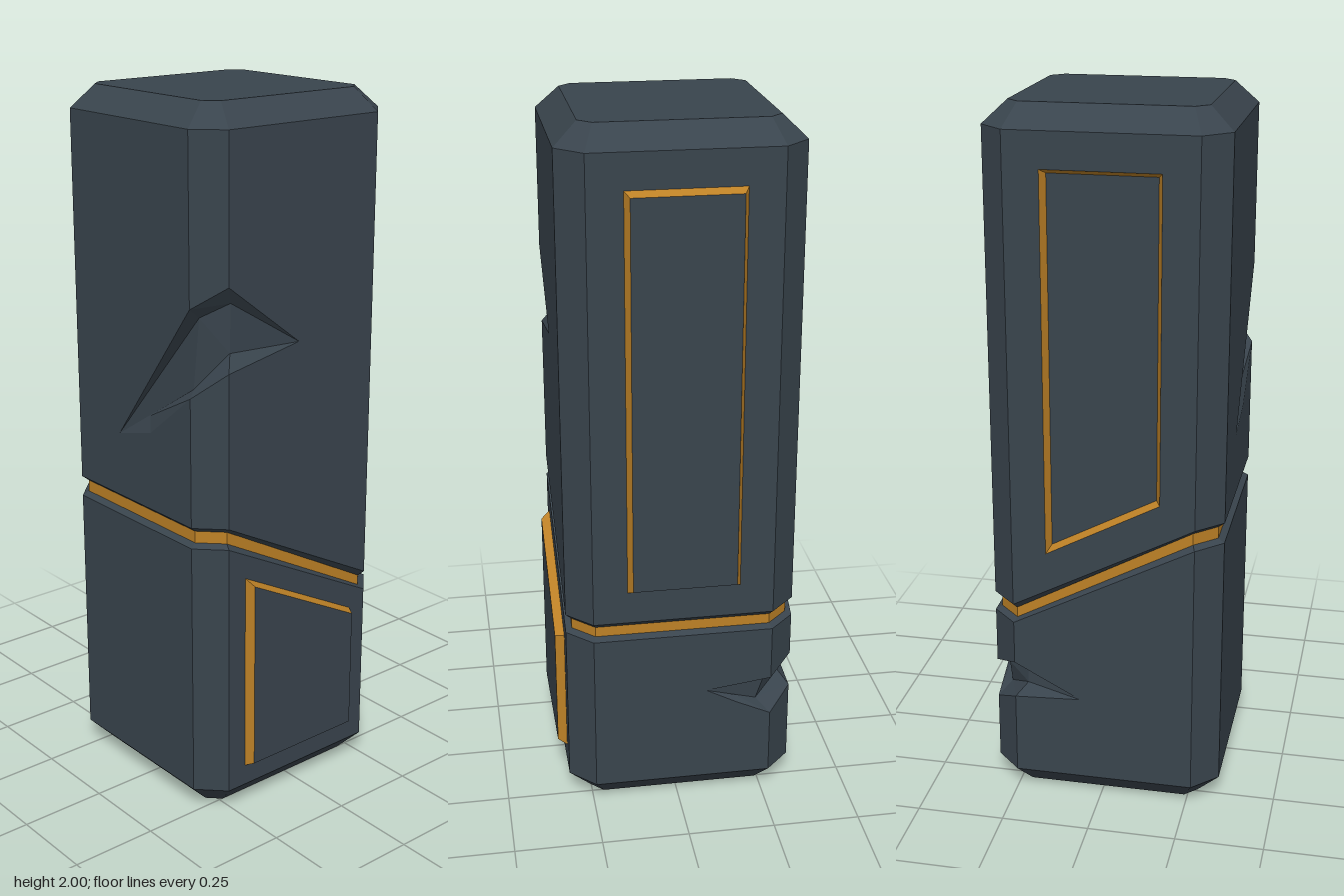
import * as THREE from 'three';

const H = 0.329, C = 0.257, S = H - C; // half width, half flat width, corner cut

// Octagon loop; y values differ for the front and back halves
function loop(h, c, yFront, yBack = yFront) {
  return [[-c, h], [c, h], [h, c], [h, -c], [c, -h], [-c, -h], [-h, -c], [-h, c]]
    .map(([x, z]) => new THREE.Vector3(x, z > 0 ? yFront : yBack, z));
}

// Outer octagon corners: faces 0 front, 2 at +x, 4 back, 6 at -x, odd ones are the cut corners
const V = loop(H, C, 0);

// Point on side face i: u along it, height y, distance out from it
function at(i, u, y, out = 0) {
  const a = V[i], dir = V[(i + 1) % 8].clone().sub(a).normalize();
  return new THREE.Vector3(a.x + dir.x * u - dir.z * out, y, a.z + dir.z * u + dir.x * out);
}

function meshFrom(name, polys, material) {
  const pts = [];
  for (const p of polys)
    for (let k = 1; k < p.length - 1; k++) pts.push(p[0], p[k], p[k + 1]);
  const g = new THREE.BufferGeometry().setFromPoints(pts);
  g.computeVertexNormals();
  const m = new THREE.Mesh(g, material);
  m.name = name;
  return m;
}

// Quads between a lower and an upper loop
const strip = (lo, hi) => lo.map((p, i) => {
  const j = (i + 1) % lo.length;
  return [p, lo[j], hi[j], hi[i]];
});

// Triangles of a flat outline on side face i, with an optional hole
function flat(i, outline, hole, out = 0) {
  const v2 = (l) => l.map(([u, y]) => new THREE.Vector2(u, y));
  const holes = hole ? [v2(hole).reverse()] : [];
  const all = [...v2(outline), ...holes.flat()];
  return THREE.ShapeUtils.triangulateShape(v2(outline), holes)
    .map((t) => t.map((k) => at(i, all[k].x, all[k].y, out)));
}

// Eight side faces between two loops, with a notch across faces k..k+2
function sides(lo, hi, n, recess) {
  const polys = [];
  for (let i = 0; i < 8; i++) {
    const j = (i + 1) % 8, L = V[i].distanceTo(V[j]);
    const bl = [0, lo[i].y], br = [L, lo[j].y], tr = [L, hi[j].y], tl = [0, hi[i].y];
    if (i === n.k) {
      const cut = [n.lower, n.tip].map(([d, y]) => [L - d, y]);
      polys.push(...flat(i, [bl, br, [L, n.yB], ...cut, [L, n.yA], tr, tl]));
    } else if (i === n.k + 1) {
      polys.push(...flat(i, [bl, br, [L, n.yD], [0, n.yB]]), ...flat(i, [[0, n.yA], [L, n.yC], tr, tl]));
    } else if (i === n.k + 2) {
      polys.push(...flat(i, [bl, br, tr, tl, [0, n.yC], n.end, [0, n.yD]]));
    } else {
      polys.push(...flat(i, [bl, br, tr, tl], recess && recess.i === i ? recess.outline : null));
    }
  }
  return polys;
}

// Chipped hollow behind the notch opening
function hollow(n) {
  const s = n.k === 0 ? 1 : -1;
  const [E1, E2, F1, F2, G] = n.inner.map(([x, y, z]) => new THREE.Vector3(x * s, y, z * s));
  const L = 2 * C, k = n.k;
  const T = at(k, L - n.tip[0], n.tip[1]), M = at(k, L - n.lower[0], n.lower[1]);
  const A = at(k, L, n.yA), B = at(k, L, n.yB);
  const Cc = at(k + 2, 0, n.yC), D = at(k + 2, 0, n.yD), U = at(k + 2, ...n.end);
  return [
    [T, E1, A], [A, E1, E2, Cc], [Cc, E2, U],
    [T, G, F1, E1], [E1, F1, F2, E2], [E2, F2, U],
    [T, M, G], [G, M, B, F1], [F1, B, D, F2], [F2, D, U],
  ];
}

// Four-cornered plate with tapered trim sides; a negative height sinks it
function plate(name, i, outline, height, body, trim) {
  const t = 0.013, [a, b, c, d] = outline;
  const slope = (c[1] - d[1]) / (c[0] - d[0]), bs = (b[1] - a[1]) / (b[0] - a[0]);
  const inner = [
    [a[0] + t, a[1] + t + bs * t], [b[0] - t, b[1] + t - bs * t],
    [c[0] - t, c[1] - t - slope * t], [d[0] + t, d[1] - t + slope * t],
  ];
  const g = new THREE.Group();
  g.name = name;
  g.add(
    meshFrom(name + 'Face', flat(i, inner, null, height), body),
    meshFrom(name + 'Trim', strip(outline.map((p) => at(i, ...p)), inner.map((p) => at(i, ...p, height))), trim),
  );
  return g;
}

export function createModel() {
  const body = new THREE.MeshStandardMaterial({ color: 0x39444d });
  body.name = 'dark slate';
  const trim = new THREE.MeshStandardMaterial({ color: 0xbd8126 });
  trim.name = 'amber';

  const group = new THREE.Group();
  group.name = 'pillar';

  // Loops from the ground up
  const foot = loop(0.264, 0.229, 0), lowBase = loop(H, C, 0.068);
  const lowTop = loop(H, C, 0.815, 0.548), coreLow = loop(0.311, 0.25, 0.826, 0.558);
  const coreHigh = loop(0.311, 0.25, 0.86, 0.588), upBase = loop(H, C, 0.875, 0.605);
  const upTop = loop(H, C, 1.938), crown = loop(0.264, 0.229, 2);

  // Chips on two opposite corners
  const upperChip = {
    k: 0, yA: 1.48, yB: 1.24, yC: 1.54, yD: 1.31,
    tip: [0.32, 1.06], lower: [0.175, 1.1], end: [0.243, 1.355],
    inner: [[0.248, 1.45, 0.29], [0.303, 1.49, 0.23], [0.223, 1.25, 0.29], [0.3, 1.355, 0.23], [0.06, 1.14, 0.313]],
  };
  const lowerChip = {
    k: 4, yA: 0.385, yB: 0.265, yC: 0.42, yD: 0.31,
    tip: [0.19, 0.36], lower: [0.1, 0.312], end: [0.19, 0.32],
    inner: [[0.245, 0.375, 0.295], [0.3, 0.405, 0.225], [0.22, 0.3, 0.295], [0.3, 0.345, 0.225], [0.15, 0.33, 0.315]],
  };

  // Sunken panel outline on the -x face
  const recess = { i: 6, outline: [[0.097, 0.77], [0.417, 0.94], [0.417, 1.84], [0.097, 1.84]] };

  group.add(
    meshFrom('lowerBlock', [
      [...foot].reverse(), ...strip(foot, lowBase), ...sides(lowBase, lowTop, lowerChip), ...strip(lowTop, coreLow),
    ], body),
    meshFrom('lowerChip', hollow(lowerChip), body),
    meshFrom('seam', strip(coreLow, coreHigh), trim),
    meshFrom('upperBlock', [
      ...strip(coreHigh, upBase), ...sides(upBase, upTop, upperChip, recess), ...strip(upTop, crown), crown,
    ], body),
    meshFrom('upperChip', hollow(upperChip), body),
    plate('sunkenPanel', 6, recess.outline, -0.025, body, trim),
    plate('backPanel', 4, [[0.097, 0.7], [0.417, 0.7], [0.417, 1.84], [0.097, 1.84]], 0.024, body, trim),
    plate('sidePanel', 2, [[0.058, 0.13], [0.457, 0.13], [0.457, 0.505], [0.058, 0.715]], 0.026, body, trim),
  );

  // The raised panels shift the body off centre
  group.position.set(-0.013, 0, 0.011);
  return group;
}
